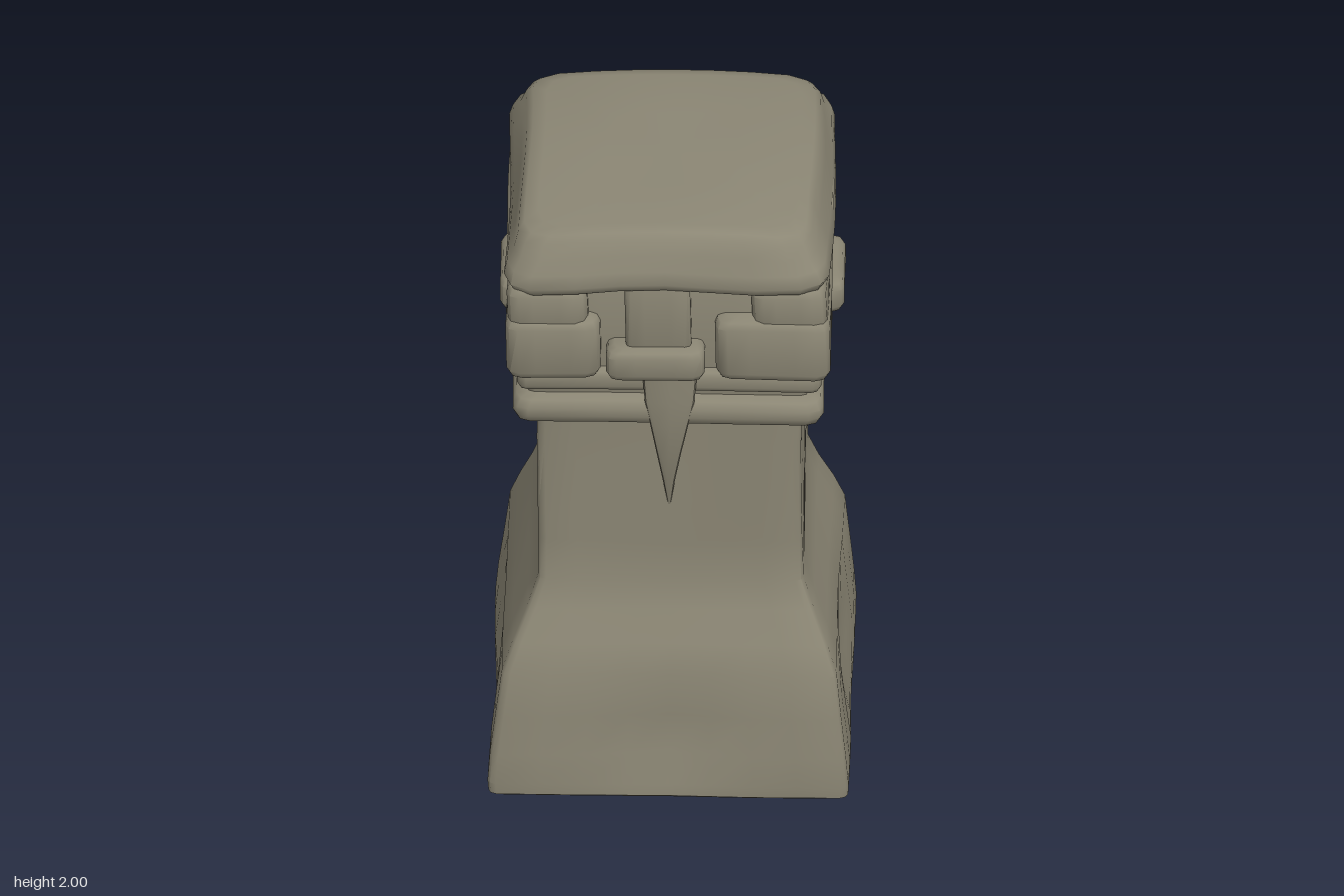
import * as THREE from 'three';
import { toCreasedNormals } from 'three/addons/utils/BufferGeometryUtils.js';

const stone = new THREE.MeshStandardMaterial({ color: 0x8b8674 });
stone.name = 'weathered stone';

// Gentle hand-hewn unevenness, a fixed function of position
function hew(v, amount) {
  const { x, y, z } = v;
  v.x += amount * Math.sin(7 * y + 5 * z + 1);
  v.z += amount * Math.sin(6 * y - 5 * x + 2);
}

// Points round a rounded rectangle, anticlockwise seen from above
function ring([y, rx, rz, cx = 0, cz = 0], radius, steps) {
  const r = Math.min(radius, rx * 0.9, rz * 0.9);
  const corners = [[1, -1], [-1, -1], [-1, 1], [1, 1]];
  const arcs = corners.map(([sx, sz], k) => [0, 1, 2].map((i) => {
    const a = (k + i / 2) * Math.PI / 2;
    return new THREE.Vector3(cx + sx * (rx - r) + r * Math.cos(a), y, cz + sz * (rz - r) - r * Math.sin(a));
  }));
  const points = [];
  arcs.forEach((arc, k) => {
    points.push(...arc);
    for (let i = 1; i < steps; i++) points.push(arc[2].clone().lerp(arcs[(k + 1) % 4][0], i / steps));
  });
  return points;
}

// Closed solid through sections [y, halfX, halfZ, centreX, centreZ]
function loft(name, sections, { radius = 0.03, steps = 4, amount = 0.004, shape = null, crease = 0.7 } = {}) {
  const rings = sections.map((s) => ring(s, radius, steps));
  const n = rings[0].length;
  const points = rings.flat();
  const end = (s) => new THREE.Vector3(s[3] || 0, s[0], s[4] || 0);
  points.push(end(sections[0]), end(sections[sections.length - 1]));
  points.forEach((p) => { if (shape) shape(p); hew(p, amount); });
  const index = [];
  const last = (rings.length - 1) * n;
  for (let j = 0; j < n; j++) {
    const k = (j + 1) % n;
    for (let i = 0; i < last; i += n) index.push(i + j, i + k, i + n + k, i + j, i + n + k, i + n + j);
    index.push(points.length - 2, k, j, points.length - 1, last + j, last + k);
  }
  const geometry = new THREE.BufferGeometry().setFromPoints(points);
  geometry.setIndex(index);
  const mesh = new THREE.Mesh(toCreasedNormals(geometry, crease), stone);
  mesh.name = name;
  return mesh;
}

// Block with softened edges, given by its limits
function block(name, x0, x1, y0, y1, z0, z1, bevel = 0.02, options = {}) {
  const cx = (x0 + x1) / 2, cz = (z0 + z1) / 2;
  const rx = (x1 - x0) / 2, rz = (z1 - z0) / 2;
  const row = (y, inset) => [y, rx - inset, rz - inset, cx, cz];
  return loft(name, [row(y0, bevel), row(y0 + bevel * 0.3, bevel * 0.3), row(y0 + bevel, 0),
    row(y1 - bevel, 0), row(y1 - bevel * 0.3, bevel * 0.3), row(y1, bevel)],
  { radius: bevel * 1.3, crease: 0.9, ...options });
}

export function createModel() {
  const model = new THREE.Group();
  model.name = 'stoneHead';

  // Flared foot and straight neck, with a shallow hollow low on each face
  model.add(loft('neck', [
    [0, 0.53, 0.545], [0.012, 0.548, 0.562], [0.05, 0.55, 0.565], [0.15, 0.542, 0.557], [0.28, 0.527, 0.545],
    [0.43, 0.51, 0.53], [0.52, 0.478, 0.498], [0.62, 0.436, 0.456], [0.71, 0.405, 0.427],
    [0.85, 0.402, 0.425], [1.0, 0.402, 0.424], [1.2, 0.403, 0.425], [1.36, 0.405, 0.428],
  ], {
    radius: 0.025, steps: 8, amount: 0.003, crease: 0.8,
    shape: (p) => {
      const low = Math.exp(-(((p.y - 0.2) / 0.15) ** 2));
      const across = Math.abs(p.x) > Math.abs(p.z) ? p.z : p.x;
      const dent = 1 - 0.07 * low * Math.exp(-((across / 0.2) ** 2));
      p.x *= dent;
      p.z *= dent;
    },
  }));

  // Recessed core behind the eye gaps, and the ledge under the cheeks
  model.add(block('core', -0.435, 0.425, 1.3, 1.86, -0.46, 0.46));
  model.add(block('ledge', -0.467, 0.46, 1.425, 1.5, -0.49, 0.49));

  // Rolled lip band
  model.add(block('lip', -0.478, 0.47, 1.308, 1.405, -0.503, 0.503, 0.035));

  // Cheek blocks wrapping the four corners, each with a sunken eye corner above
  for (const sx of [-1, 1]) {
    for (const sz of [-1, 1]) {
      const span = (s, a, b) => (s > 0 ? [a, b] : [-b, -a]);
      const inner = sx < 0 ? 0.215 : 0.135;
      const [x0, x1] = span(sx, inner, sx < 0 ? 0.503 : 0.485);
      const [z0, z1] = span(sz, 0.125, 0.525);
      model.add(block('cheek', x0, x1, 1.485, 1.7, z0, z1, 0.03, { amount: 0.007 }));
      const [u0, u1] = span(sx, 0.25, sx < 0 ? 0.495 : 0.478);
      const [w0, w1] = span(sz, 0.24, 0.515);
      model.add(block('brow', u0, u1, 1.64, 1.81, w0, w1, 0.03, { amount: 0.007 }));
    }
  }

  // Nose, keeper band and tapering fang on each of the four faces
  for (let k = 0; k < 4; k++) {
    const face = new THREE.Group();
    face.name = 'faceCarving';
    face.rotation.y = k * Math.PI / 2;
    const wall = k % 2 ? 0.403 : 0.426;
    const shift = k % 2 ? 0 : -0.035;
    face.add(block('nose', shift - 0.1, shift + 0.1, 1.54, 1.86, wall - 0.05, wall + 0.087, 0.015));
    face.add(block('keeper', shift * 1.3 - 0.15, shift * 1.3 + 0.15, 1.495, 1.605, wall - 0.05, wall + 0.125, 0.025));
    const fang = [[0.985, 0.004, 0], [1.09, 0.02, 0.033], [1.2, 0.038, 0.06], [1.31, 0.058, 0.078], [1.4, 0.076, 0.085], [1.51, 0.084, 0.085]];
    face.add(loft('fang', fang.map(([y, half, out]) => [y, half, 0.03 + out / 2, 0, wall - 0.03 + out / 2]),
      { radius: 0.015, steps: 2, amount: 0.002 }));
    model.add(face);
  }

  // Overhanging cap with sloped sides and a softly uneven top
  model.add(loft('cap', [
    [1.79, 0.462, 0.49, -0.006], [1.805, 0.485, 0.515, -0.006], [1.83, 0.496, 0.527, -0.006],
    [1.87, 0.485, 0.515, -0.007], [1.93, 0.463, 0.495, -0.008], [1.975, 0.448, 0.478, -0.008],
    [1.993, 0.43, 0.46, -0.008], [2.0, 0.39, 0.42, -0.008], [2.0, 0.2, 0.2, -0.008],
  ], {
    radius: 0.08, steps: 6, amount: 0.008, crease: 1.1,
    shape: (p) => {
      if (p.y < 1.9) p.y += 0.012 * Math.sin(9 * p.x + 4 * p.z);
      else p.y -= 0.035 * Math.min(1, (Math.abs(p.x * p.z) / 0.2) ** 2);
    },
  }));

  return model;
}
